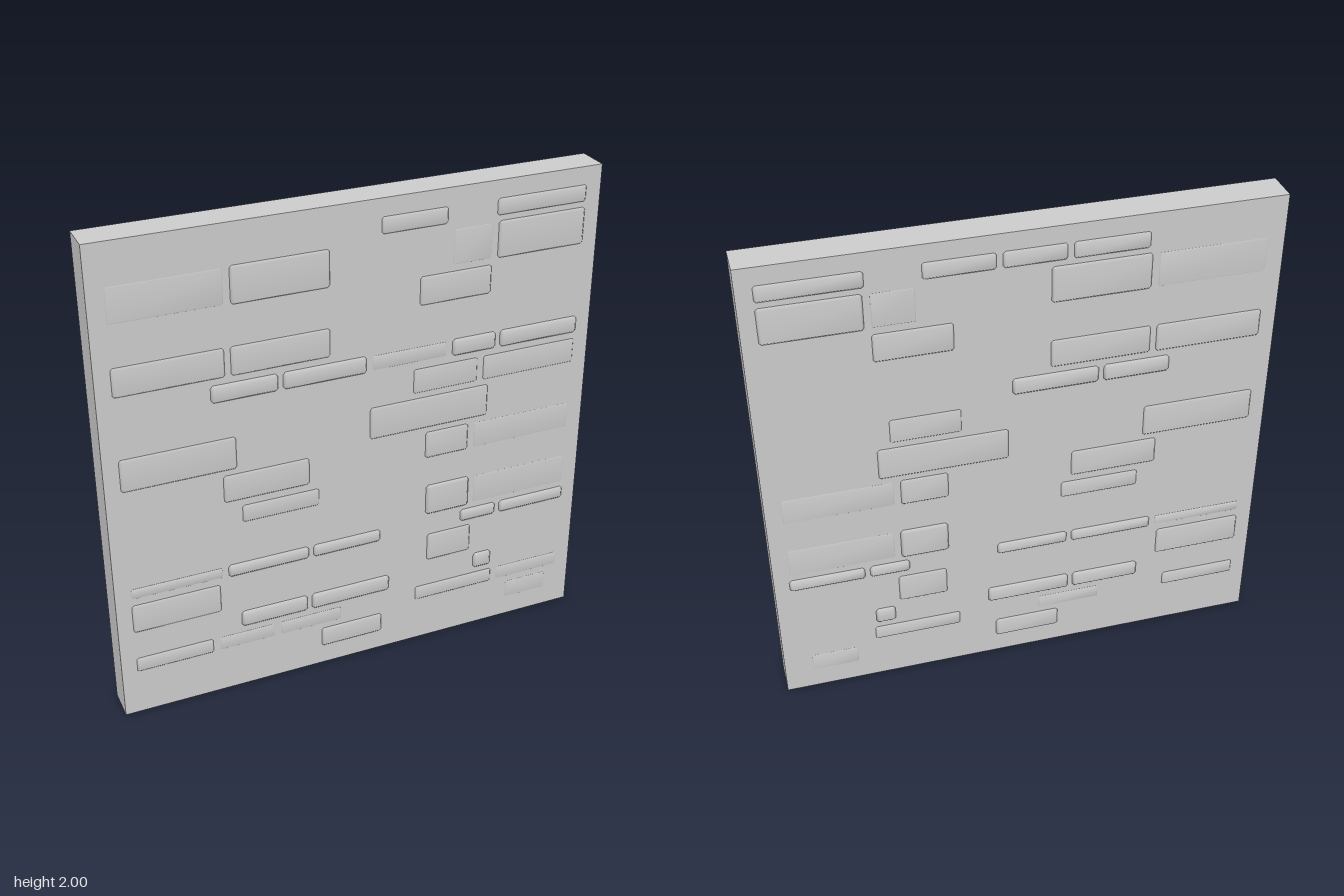
import * as THREE from 'three';
import { mergeVertices } from 'three/addons/utils/BufferGeometryUtils.js';
import { ConvexGeometry } from 'three/addons/geometries/ConvexGeometry.js';

const FRONT = 0.064, BACK = -0.069; // faces of the wall slab
const EDGE = 0.95; // where the courses stop short of the slab's sides
const GAP = 0.02; // mortar joint between neighbouring bricks
const FLUSH = 0.004, HIDDEN = -0.004; // rise of nearly flush and of buried brick faces

// Each course: centre height y, brick height h, rise above the slab, and runs of bricks given by
// their joints. Bricks are numbered from the left: flush ones barely stand out,
// frontOnly and backOnly ones are buried on the other side.
const courses = [
  { y: 1.895, h: 0.07, rise: 0.008, runs: [[-0.49, -0.18, 0.08, 0.37], [0.55, EDGE]], backOnly: [0, 1] },
  { y: 1.765, h: 0.15, rise: 0.009, runs: [[-EDGE, -0.5, -0.1], [0.37, 0.56, EDGE]], flush: [0, 2] },
  { y: 1.61, h: 0.12, rise: 0.008, runs: [[0.24, 0.56]] },
  { y: 1.47, h: 0.12, rise: 0.008, runs: [[-EDGE, -0.51, -0.1]] },
  { y: 1.35, h: 0.07, rise: 0.012, runs: [[-0.59, -0.31, 0.045, 0.385, 0.59, EDGE]], flush: [2], frontOnly: [2, 3, 4] },
  { y: 1.235, h: 0.11, rise: 0.006, runs: [[0.22, 0.52, EDGE]], frontOnly: [1] },
  { y: 1.09, h: 0.14, rise: 0.008, runs: [[-EDGE, -0.48], [0.04, 0.57]] },
  { y: 0.94, h: 0.12, rise: 0.008, runs: [[-0.56, -0.19], [0.28, 0.49, EDGE]], flush: [2] },
  { y: 0.815, h: 0.08, rise: 0.007, runs: [[-0.49, -0.15]] },
  { y: 0.683, h: 0.135, rise: 0.013, runs: [[0.29, 0.5, EDGE]], flush: [1] },
  { y: 0.567, h: 0.055, rise: 0.01, runs: [[-EDGE, -0.555, -0.2, 0.11], [0.45, 0.63, EDGE]], flush: [0] },
  { y: 0.45, h: 0.13, rise: 0.008, runs: [[-EDGE, -0.57], [0.3, 0.52]] },
  { y: 0.325, h: 0.07, rise: 0.013, runs: [[-0.51, -0.21, 0.15], [0.52, 0.62]] },
  { y: 0.23, h: 0.07, rise: 0.007, runs: [[-EDGE, -0.61, -0.35, -0.06], [0.25, 0.63, EDGE]], flush: [1, 2, 4], frontOnly: [1, 4] },
  { y: 0.13, h: 0.09, rise: 0.009, runs: [[-0.17, 0.12], [0.68, 0.9]], flush: [1] },
];

// Box with chamfered edges and softly blended normals
function chamferedBox(w, h, d, c) {
  const points = [];
  for (const x of [-1, 1]) for (const y of [-1, 1]) for (const z of [-1, 1]) {
    for (let axis = 0; axis < 3; axis++) {
      const half = [w / 2, h / 2, d / 2].map((s, i) => (i === axis ? s : s - c));
      points.push(new THREE.Vector3(x * half[0], y * half[1], z * half[2]));
    }
  }
  let geometry = new ConvexGeometry(points);
  geometry.deleteAttribute('normal');
  geometry = mergeVertices(geometry, 1e-5);
  geometry.computeVertexNormals();
  return geometry;
}

// One row of bricks running through the slab and standing slightly proud of its faces
function createCourse({ y, h, rise, runs, flush = [], frontOnly = [], backOnly = [] }, material) {
  const course = new THREE.Group();
  course.name = 'brickCourse';
  for (const joints of runs) {
    for (let j = 1; j < joints.length; j++) {
      const index = course.children.length;
      const shown = flush.includes(index) ? FLUSH : rise;
      const front = FRONT + (backOnly.includes(index) ? HIDDEN : shown);
      const back = BACK - (frontOnly.includes(index) ? HIDDEN : shown);
      const width = joints[j] - joints[j - 1] - GAP;
      const brick = new THREE.Mesh(chamferedBox(width, h, front - back, 0.01), material);
      brick.name = 'brick';
      brick.position.set((joints[j - 1] + joints[j]) / 2, y, (front + back) / 2);
      course.add(brick);
    }
  }
  return course;
}

export function createModel() {
  const model = new THREE.Group();
  model.name = 'brickWall';
  const material = new THREE.MeshStandardMaterial({ color: 0xcccccc });

  // Plain wall slab
  const slab = new THREE.Mesh(new THREE.BoxGeometry(2, 2, FRONT - BACK), material);
  slab.name = 'wallSlab';
  slab.position.set(0, 1, (FRONT + BACK) / 2);
  model.add(slab);

  for (const course of courses) model.add(createCourse(course, material));
  return model;
}
